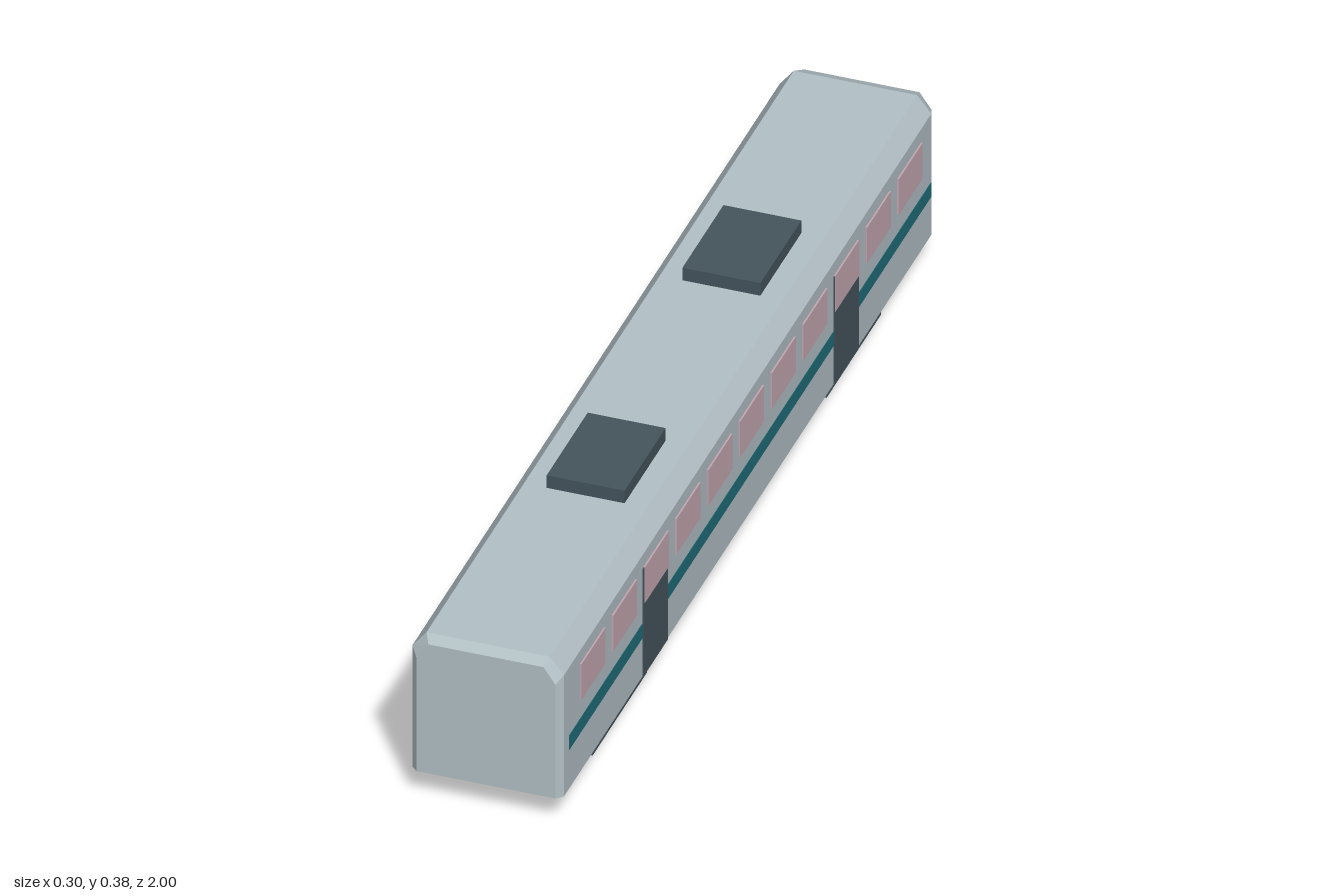
import * as THREE from 'three';

const material = (name, color) => {
  const m = new THREE.MeshStandardMaterial({ color });
  m.name = name;
  return m;
};

// Hull from six-point cross-sections, bevelled at both ends
function hullGeometry() {
  const floorY = 0.055;
  const section = (z, w, shoulder, r, top) =>
    [[w, floorY], [w, shoulder], [r, top], [-r, top], [-w, shoulder], [-w, floorY]]
      .map(([x, y]) => [x, y, z]);
  const rings = [
    section(1, 0.133, 0.3, 0.11, 0.333),
    section(0.988, 0.145, 0.316, 0.118, 0.35),
    section(-0.965, 0.145, 0.316, 0.118, 0.35),
    section(-1, 0.133, 0.3, 0.11, 0.333),
  ];
  const shell = [], floor = [];
  for (let k = 0; k < 3; k++) {
    const f = rings[k], b = rings[k + 1];
    for (let i = 0; i < 6; i++) {
      const j = (i + 1) % 6;
      (i === 5 ? floor : shell).push(f[i], b[i], b[j], f[i], b[j], f[j]);
    }
  }
  // End walls
  const front = rings[0], back = rings[3];
  for (let i = 1; i < 5; i++) {
    shell.push(front[0], front[i], front[i + 1]);
    shell.push(back[0], back[i + 1], back[i]);
  }
  const g = new THREE.BufferGeometry();
  g.setAttribute('position', new THREE.Float32BufferAttribute([...shell, ...floor].flat(), 3));
  g.addGroup(0, shell.length, 0);
  g.addGroup(shell.length, floor.length, 1);
  g.computeVertexNormals();
  return g;
}

export function createModel() {
  const model = new THREE.Group();
  model.name = 'railCar';
  const paint = material('paleGreyPaint', 0xb3c1c6);
  const dark = material('darkSlate', 0x45545d);
  const glass = material('pinkGlass', 0xc6a8b2);
  const teal = material('tealStripe', 0x1f6e78);

  const box = (parent, name, mat, size, pos) => {
    const mesh = new THREE.Mesh(new THREE.BoxGeometry(...size), mat);
    mesh.name = name;
    mesh.position.set(...pos);
    parent.add(mesh);
  };

  const hull = new THREE.Mesh(hullGeometry(), [paint, dark]);
  hull.name = 'carBody';
  model.add(hull);

  // Bogies below and equipment boxes on the roof
  for (const s of [1, -1]) {
    const end = s > 0 ? 'front' : 'rear';
    box(model, end + 'Bogie', dark, [0.24, 0.055, 0.288], [0, 0.0275, s * 0.622]);
    box(model, end + 'RoofUnit', dark, [0.149, 0.028, 0.218], [0, 0.363, s * 0.361]);
  }

  // Thin plates on both sides: stripe, doors over it, windows outermost
  for (const s of [1, -1]) {
    const side = new THREE.Group();
    side.name = s > 0 ? 'leftSide' : 'rightSide';
    const plate = (name, mat, out, y0, y1, z, length) =>
      box(side, name, mat, [out, y1 - y0, length], [s * (0.145 + out / 2), (y0 + y1) / 2, z]);
    plate('stripe', teal, 0.001, 0.139, 0.17, 0, 1.925);
    for (const z of [0.505, -0.511]) plate('door', dark, 0.002, 0.055, 0.287, z, 0.13);
    for (let i = 0; i < 11; i++) {
      plate('window', glass, 0.0032, 0.211, 0.288, 0.84 - i * 0.1687, 0.127);
    }
    model.add(side);
  }
  return model;
}
